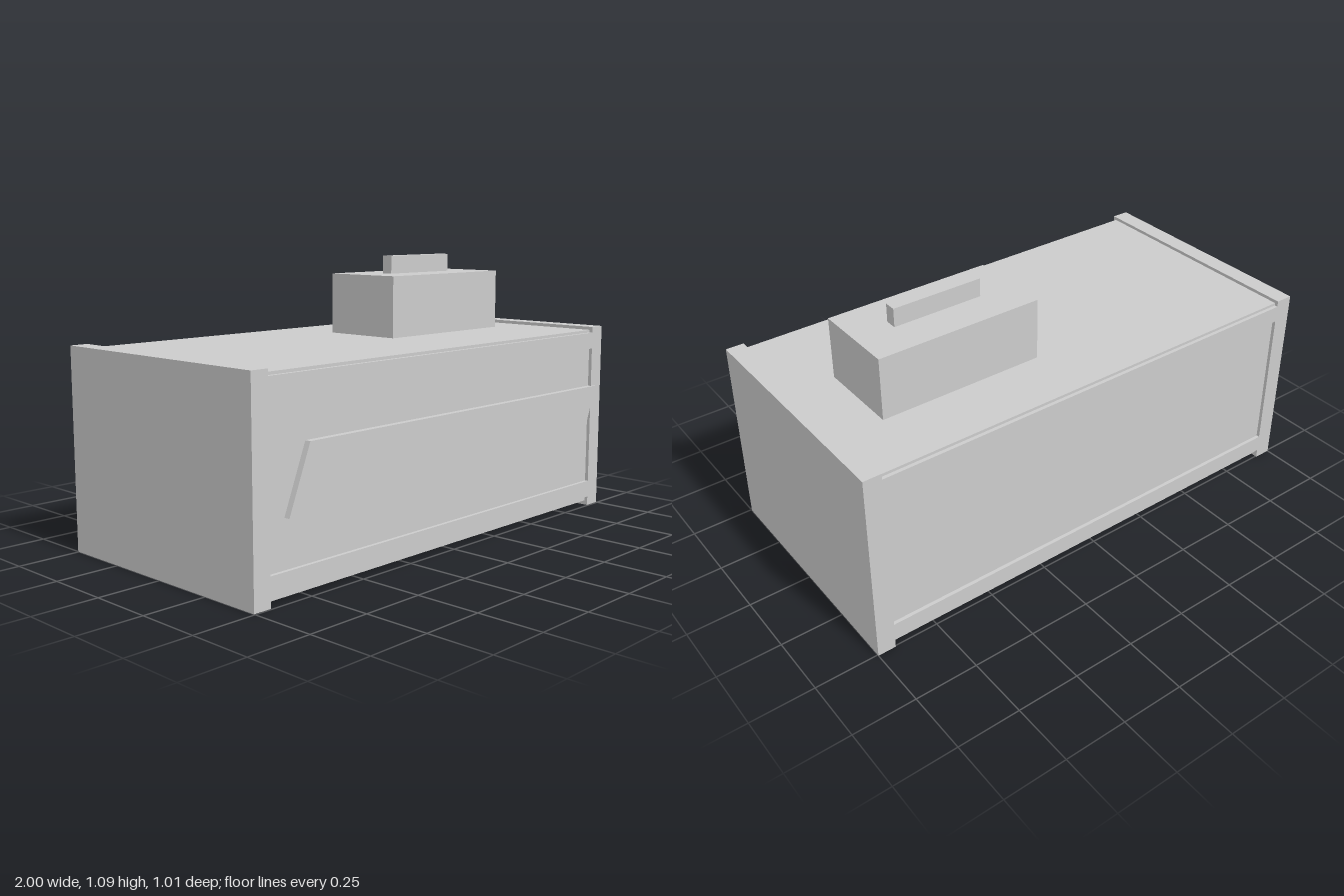
import * as THREE from 'three';

export function createModel() {
  const group = new THREE.Group();
  const material = new THREE.MeshStandardMaterial({ color: 0xcccccc, flatShading: true });

  const add = (name, geometry) => {
    const mesh = new THREE.Mesh(geometry, material);
    mesh.name = name;
    group.add(mesh);
    return mesh;
  };

  // Box given by its extents on each axis
  const box = (name, [x0, x1], [y0, y1], [z0, z1]) =>
    add(name, new THREE.BoxGeometry(x1 - x0, y1 - y0, z1 - z0))
      .position.set((x0 + x1) / 2, (y0 + y1) / 2, (z0 + z1) / 2);

  const front = 0.495, back = -0.505, recess = 0.014, inner = 0.928;

  // Main body, set in slightly behind the frame
  box('body', [-inner, inner], [0.018, 0.767], [back + recess, front - recess]);

  // End panels, a little taller and deeper than the body
  box('leftEndPanel', [inner, 1], [0, 0.78], [back, front]);
  box('rightEndPanel', [-1, -inner], [0, 0.78], [back, front]);

  // Frame rails along the top and bottom of the front and back
  for (const [side, z] of [['front', [front - recess, front]], ['back', [back, back + recess]]]) {
    box(side + 'TopRail', [-inner, inner], [0.688, 0.756], z);
    box(side + 'BottomRail', [-inner, inner], [0.038, 0.108], z);
  }

  // Slanted plate on the front
  const plate = new THREE.Shape([
    [-0.853, 0.284], [0.853, 0.284], [0.947, 0.526], [-0.757, 0.526],
  ].map(([x, y]) => new THREE.Vector2(x, y)));
  const plateBack = front - recess;
  add('frontPlate', new THREE.ExtrudeGeometry(plate, { depth: 0.505 - plateBack, bevelEnabled: false }))
    .position.z = plateBack;

  // Block on the roof with a thin ridge on top
  box('roofBlock', [0.09, 0.76], [0.767, 1.013], [-0.237, 0.103]);
  box('roofRidge', [0.24, 0.606], [1.013, 1.086], [-0.09, -0.043]);

  return group;
}
